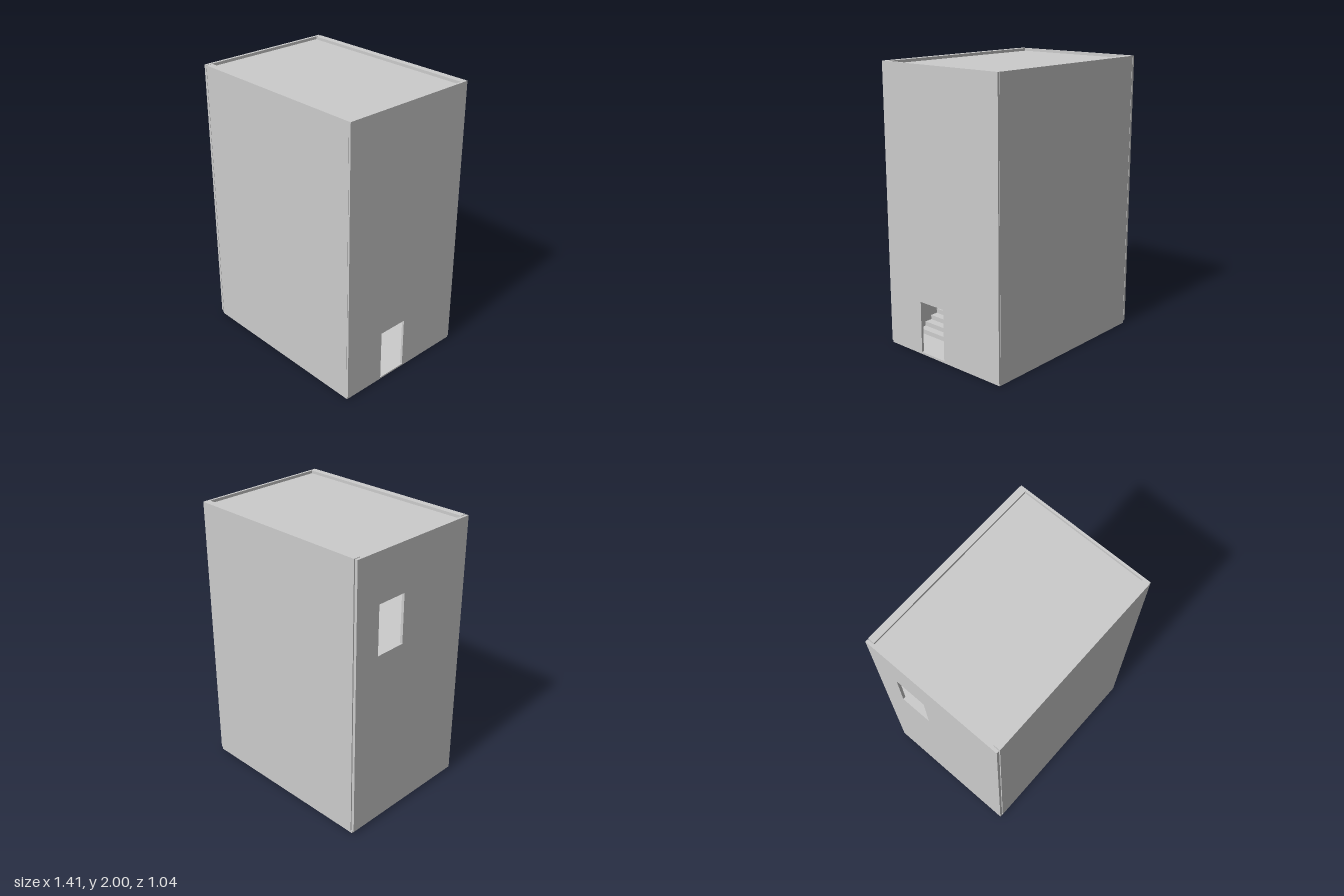
import * as THREE from 'three';

const material = new THREE.MeshStandardMaterial({ color: 0xcccccc, flatShading: true });

export function createModel() {
  const model = new THREE.Group();
  const add = (name, geometry) => {
    const mesh = new THREE.Mesh(geometry, material);
    mesh.name = name;
    model.add(mesh);
    return mesh;
  };

  // Box given by its limits on each axis
  const slab = (name, [x0, x1], [y0, y1], [z0, z1]) =>
    add(name, new THREE.BoxGeometry(x1 - x0, y1 - y0, z1 - z0))
      .position.set((x0 + x1) / 2, (y0 + y1) / 2, (z0 + z1) / 2);

  const rectangle = (target, z0, z1, y0, y1) => {
    target.moveTo(z0, y0);
    target.lineTo(z1, y0);
    target.lineTo(z1, y1);
    target.lineTo(z0, y1);
    target.closePath();
    return target;
  };

  // End wall across the z axis with one door opening
  const endWall = (name, [x0, x1], halfWidth, door) => {
    const shape = rectangle(new THREE.Shape(), -halfWidth, halfWidth, 0.02, 2);
    shape.holes.push(rectangle(new THREE.Path(), ...door));
    const geometry = new THREE.ExtrudeGeometry(shape, { depth: x1 - x0, bevelEnabled: false });
    geometry.rotateY(-Math.PI / 2).translate(x1, 0, 0);
    add(name, geometry);
  };

  // Outer shell
  slab('groundSlab', [-0.69, 0.695], [0, 0.02], [-0.515, 0.515]);
  slab('frontWall', [-0.68, 0.69], [0.02, 2], [0.47, 0.518]);
  slab('backWall', [-0.68, 0.69], [0.02, 2], [-0.518, -0.47]);
  endWall('entranceWall', [0.686, 0.703], 0.516, [-0.015, 0.205, 0.021, 0.39]);
  endWall('upperDoorWall', [-0.706, -0.686], 0.516, [-0.32, -0.09, 1.3, 1.655]);
  slab('roofSlab', [-0.685, 0.687], [1.93, 1.98], [-0.472, 0.472]);

  // Landings joined by the flights
  const levels = [0.02, 0.447, 0.873, 1.3];
  const near = 0.48, far = -0.26, steps = 13, waist = 0.05;
  slab('lowerLanding', [-0.68, far], [levels[1] - 0.045, levels[1]], [-0.47, 0.47]);
  slab('middleLanding', [near, 0.687], [levels[2] - 0.045, levels[2]], [-0.47, 0.47]);
  slab('upperFloor', [-0.686, far], [levels[3] - 0.045, levels[3]], [-0.47, 0.47]);

  // Stepped flights, alternating in direction and side
  for (let i = 0; i < 3; i++) {
    const run = (near - far) / steps, rise = (levels[i + 1] - levels[i]) / steps;
    const profile = new THREE.Shape();
    profile.moveTo(0, 0);
    for (let s = 0; s < steps; s++) {
      profile.lineTo(s * run, (s + 1) * rise);
      profile.lineTo((s + 1) * run, (s + 1) * rise);
    }
    profile.lineTo(steps * run, steps * rise - waist);
    profile.lineTo(waist * run / rise, 0);
    profile.closePath();
    const flight = add('stairFlight' + (i + 1),
      new THREE.ExtrudeGeometry(profile, { depth: 0.43, bevelEnabled: false }));
    const backward = i % 2 === 0;
    flight.rotation.y = backward ? Math.PI : 0;
    flight.position.set(backward ? near : far, levels[i], backward ? 0.47 : -0.47);
  }

  return model;
}
